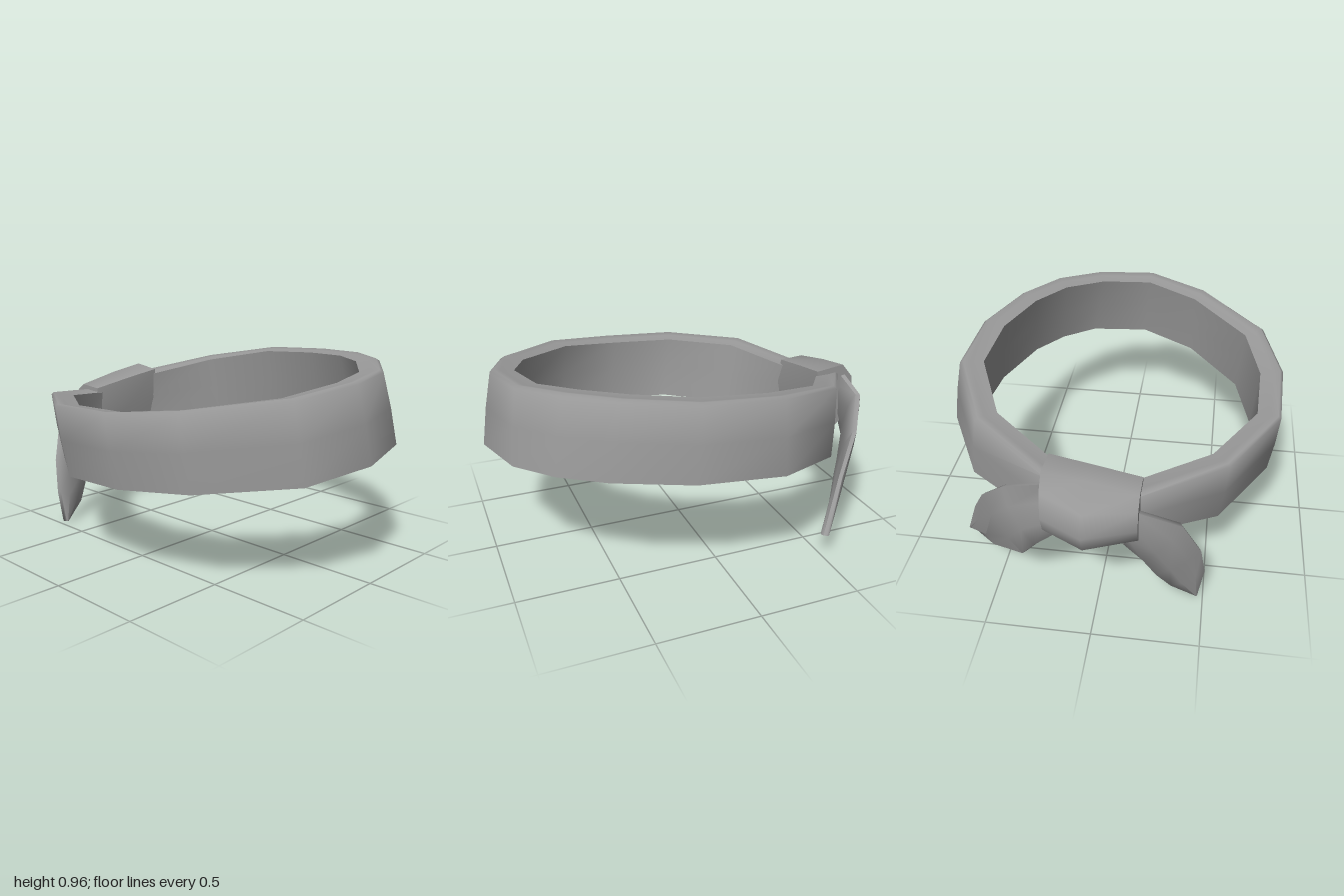
import * as THREE from 'three';
import { toCreasedNormals } from 'three/addons/utils/BufferGeometryUtils.js';

const cloth = new THREE.MeshStandardMaterial({ color: 0x999999, side: THREE.DoubleSide });
cloth.name = 'grey cloth';

// Skins a run of equal-sized point loops; closed joins last to first, otherwise the ends are capped.
function loft(name, loops, closed, crease) {
  const n = loops[0].length, m = loops.length;
  const pts = loops.flat();
  let tris = [];
  for (let i = 0; i < (closed ? m : m - 1); i++) {
    for (let j = 0; j < n; j++) {
      const k = (j + 1) % n, next = (i + 1) % m;
      const a = i * n + j, b = i * n + k, c = next * n + k, d = next * n + j;
      tris.push([a, b, c], [a, c, d]);
    }
  }
  if (!closed) {
    for (let j = 1; j < n - 1; j++) {
      const e = (m - 1) * n;
      tris.push([0, j + 1, j], [e, e + j, e + j + 1]);
    }
  }
  // Turn the faces outward
  const volume = tris.reduce((s, [a, b, c]) => s + pts[a].dot(pts[b].clone().cross(pts[c])), 0);
  if (volume < 0) tris = tris.map(([a, b, c]) => [a, c, b]);
  const geo = new THREE.BufferGeometry().setFromPoints(pts);
  geo.setIndex(tris.flat());
  const mesh = new THREE.Mesh(toCreasedNormals(geo, crease), cloth);
  mesh.name = name;
  return mesh;
}

const V = (x, y, z) => new THREE.Vector3(x, y, z);

// Tilted headband: lower and upper outer corner of each station around the head
function makeBand() {
  const stations = [
    [[-0.19, 0.47, -0.8], [-0.19, 0.71, -0.82]],
    [[-0.54, 0.41, -0.57], [-0.57, 0.76, -0.62]],
    [[-0.77, 0.425, -0.2], [-0.8, 0.775, -0.25]],
    [[-0.79, 0.445, 0.18], [-0.82, 0.79, 0.14]],
    [[-0.69, 0.475, 0.54], [-0.72, 0.83, 0.5]],
    [[-0.37, 0.51, 0.89], [-0.38, 0.88, 0.83]],
    [[-0.04, 0.56, 1], [-0.07, 0.925, 0.93]],
    [[0.3, 0.585, 0.92], [0.23, 0.94, 0.87]],
    [[0.49, 0.595, 0.77], [0.45, 0.96, 0.71]],
    [[0.64, 0.6, 0.57], [0.61, 0.96, 0.5]],
    [[0.78, 0.59, 0.22], [0.74, 0.945, 0.18]],
    [[0.82, 0.575, -0.19], [0.755, 0.925, -0.2]],
    [[0.63, 0.52, -0.54], [0.58, 0.86, -0.57]],
    [[0.21, 0.48, -0.8], [0.21, 0.775, -0.82]],
  ];
  // Cross-section with a thin outer lip at both rims: inward depth, share of the height
  const profile = [[0, 0], [-0.005, 0.5], [0, 0.97], [0.015, 1], [0.05, 0.975], [0.115, 0.955], [0.11, 0.5], [0.11, -0.015], [0.045, 0.015], [0.02, -0.005]];
  const loops = stations.map(([low, high]) => {
    const bottom = V(...low), top = V(...high);
    const inward = V(-bottom.x, 0, 0.05 - bottom.z).normalize();
    return profile.map(([d, h]) => bottom.clone().lerp(top, h).addScaledVector(inward, d));
  });
  return loft('headband', loops, true, 1.15);
}

// Knot wrapped round the back of the band: (z, y) loops at several x positions
function makeKnot() {
  const right = [[-0.71, 0.725], [-0.84, 0.735], [-0.9, 0.69], [-0.92, 0.6], [-0.89, 0.52], [-0.82, 0.46], [-0.7, 0.455], [-0.69, 0.6]];
  const middle = [[-0.7, 0.765], [-0.84, 0.785], [-0.97, 0.71], [-1, 0.6], [-0.97, 0.51], [-0.86, 0.41], [-0.71, 0.44], [-0.69, 0.61]];
  const left = [[-0.69, 0.795], [-0.84, 0.815], [-0.9, 0.745], [-0.92, 0.62], [-0.89, 0.53], [-0.82, 0.47], [-0.7, 0.465], [-0.69, 0.62]];
  const loops = [[-0.2, right], [0.03, middle], [0.22, left]]
    .map(([x, loop]) => loop.map(([z, y]) => V(x, y, z)));
  return loft('knot', loops, false, 1.15);
}

// Leaf-shaped tail: upper edge, lower edge and half thickness along its length
function makeTail(name, rows, out) {
  const loops = rows.map(([u, l, t]) => {
    const a = V(...u), b = V(...l);
    const at = (f, s) => a.clone().lerp(b, f).addScaledVector(out, s * t);
    return [at(0, 0.4), at(0.3, 1), at(0.7, 1), at(1, 0.4), at(1, -0.4), at(0.7, -1), at(0.3, -1), at(0, -0.4)];
  });
  return loft(name, loops, false, 1.2);
}

export function createModel() {
  const group = new THREE.Group();
  group.name = 'knottedHeadband';
  group.add(makeBand(), makeKnot());
  group.add(makeTail('leftTail', [
    [[0.17, 0.77, -0.85], [0.17, 0.5, -0.88], 0.035],
    [[0.39, 0.71, -0.83], [0.26, 0.41, -0.86], 0.03],
    [[0.52, 0.57, -0.74], [0.35, 0.25, -0.77], 0.025],
    [[0.61, 0.38, -0.62], [0.54, 0.145, -0.63], 0.022],
    [[0.7, 0.125, -0.5], [0.68, 0.125, -0.51], 0.02],
  ], V(0.65, 0, -0.76)));
  group.add(makeTail('rightTail', [
    [[-0.16, 0.67, -0.86], [-0.13, 0.48, -0.87], 0.035],
    [[-0.38, 0.56, -0.81], [-0.21, 0.33, -0.81], 0.035],
    [[-0.47, 0.35, -0.74], [-0.27, 0.2, -0.77], 0.03],
    [[-0.495, 0.18, -0.7], [-0.34, 0.09, -0.73], 0.025],
    [[-0.47, 0.005, -0.69], [-0.46, 0, -0.7], 0.015],
  ], V(-0.45, 0, -0.89)));
  return group;
}
